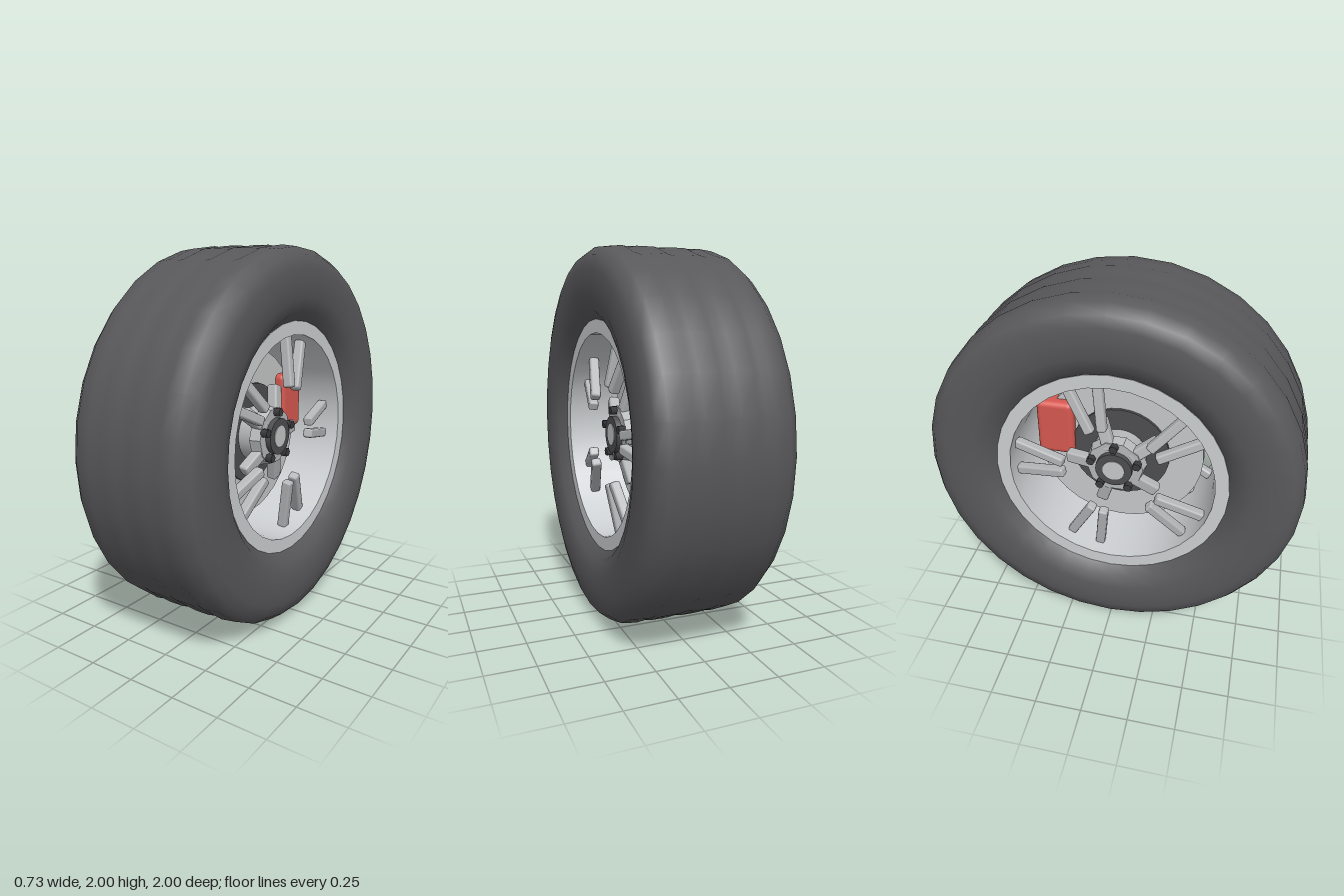
import * as THREE from 'three';
import { toCreasedNormals } from 'three/addons/utils/BufferGeometryUtils.js';
import { RoundedBoxGeometry } from 'three/addons/geometries/RoundedBoxGeometry.js';

const material = (name, color) => {
  const m = new THREE.MeshStandardMaterial({ color });
  m.name = name;
  return m;
};

export function createModel() {
  const rubber = material('rubber', 0x58585b);
  const rimMetal = material('rim metal', 0xcdd0d2);
  const spokeMetal = material('spoke metal', 0xb6b8ba);
  const discMetal = material('disc metal', 0xc6c8c9);
  const darkMetal = material('dark metal', 0x4e4e51);
  const nutMetal = material('nut metal', 0x3c3c3f);
  const red = material('caliper red', 0xd65850);

  const model = new THREE.Group();
  model.name = 'wheel';
  const wheel = new THREE.Group();
  wheel.name = 'wheelParts';
  wheel.position.y = 1;
  model.add(wheel);

  const add = (name, geometry, mat, x = 0, y = 0, z = 0) => {
    const mesh = new THREE.Mesh(geometry, mat);
    mesh.name = name;
    mesh.position.set(x, y, z);
    wheel.add(mesh);
    return mesh;
  };
  // Revolve [axle position, radius] pairs around the x axle
  const revolve = (profile, segments = 32) =>
    new THREE.LatheGeometry(profile.map(([x, r]) => new THREE.Vector2(r, x)), segments).rotateZ(-Math.PI / 2);
  const drum = (r, length, segments = 32) =>
    new THREE.CylinderGeometry(r, r, length, segments).rotateZ(-Math.PI / 2);

  // Tyre: rounded sidewalls and three shallow tread grooves
  const half = [
    [0, 0.992], [0.04, 1], [0.13, 1], [0.17, 0.992], [0.21, 1], [0.29, 0.99],
    [0.342, 0.95], [0.358, 0.89], [0.364, 0.82], [0.358, 0.74], [0.335, 0.67], [0.285, 0.62],
  ];
  const tyreProfile = [...half.slice(1).reverse().map(([x, r]) => [-x, r]), ...half];
  add('tyre', revolve(tyreProfile), rubber);

  // Rim: open barrel with a flat lip at each end
  const rimProfile = [[-0.29, 0.55], [-0.29, 0.622], [0.29, 0.622], [0.29, 0.55], [-0.29, 0.55]];
  add('rim', toCreasedNormals(revolve(rimProfile), 0.6), rimMetal);

  // Brake disc, its dark centre and the axle tube
  add('brakeDisc', drum(0.46, 0.05), discMetal);
  add('discCentre', drum(0.275, 0.08), darkMetal);
  add('axleTube', drum(0.15, 0.3), spokeMetal);

  // Caliper over the rear edge of the disc
  add('caliper', new RoundedBoxGeometry(0.16, 0.325, 0.205, 3, 0.03), red, 0, 0.128, -0.358);

  // Bar between two points given as [axle position, radius, sideways offset] at an angle
  const bar = (name, angle, side, from, to, thick, wide) => {
    const point = ([x, r, t]) => new THREE.Vector3(
      x * side,
      r * Math.sin(angle) + t * Math.cos(angle),
      -r * Math.cos(angle) + t * Math.sin(angle));
    const a = point(from), b = point(to);
    const along = b.clone().sub(a);
    const length = along.length();
    along.normalize();
    const out = new THREE.Vector3(1, 0, 0).addScaledVector(along, -along.x).normalize();
    const across = along.clone().cross(out);
    const mesh = add(name, new RoundedBoxGeometry(thick, wide, length, 1, 0.012), spokeMetal);
    mesh.quaternion.setFromRotationMatrix(new THREE.Matrix4().makeBasis(out, across, along));
    mesh.position.copy(a.add(b).multiplyScalar(0.5));
  };

  // Matching spokes and hub on both sides
  for (const side of [1, -1]) {
    for (let i = 0; i < 5; i++) {
      const angle = i * Math.PI * 0.4;
      bar('spokeRoot', angle, side, [0.155, 0.1, 0], [0.12, 0.275, 0], 0.06, 0.068);
      for (const t of [1, -1]) {
        bar('spoke', angle, side, [0.235, 0.265, t * 0.033], [0.185, 0.545, t * 0.088], 0.055, 0.052);
      }
      // Wheel nuts
      const nutAngle = Math.PI / 2 + angle;
      add('wheelNut', drum(0.024, 0.04, 6), nutMetal,
        side * 0.195, 0.132 * Math.sin(nutAngle), -0.132 * Math.cos(nutAngle));
    }
    // Faceted hub plate with a dark ring and a light cap
    const plate = new THREE.CylinderGeometry(0.155, 0.168, 0.06, 10);
    plate.rotateZ(-side * Math.PI / 2);
    add('hubPlate', toCreasedNormals(plate, 0.3), spokeMetal, side * 0.15);
    add('hubRing', drum(0.1, 0.06, 24), darkMetal, side * 0.18);
    add('hubCap', drum(0.06, 0.04, 20), discMetal, side * 0.194);
  }
  return model;
}
